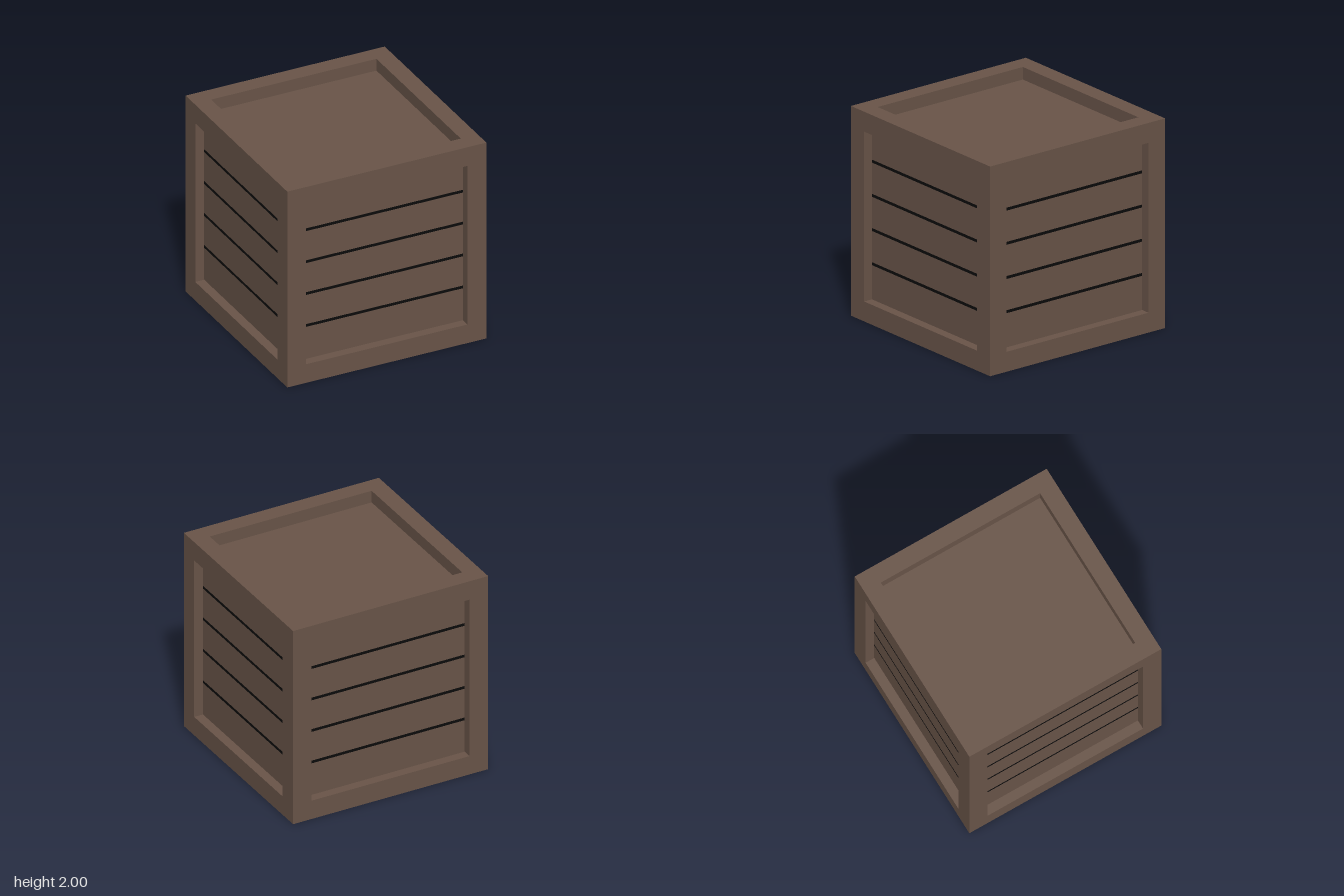
import * as THREE from 'three';

export function createModel() {
  const crate = new THREE.Group();
  crate.name = 'crate';
  const wood = new THREE.MeshStandardMaterial({ color: 0x6a5549 });
  wood.name = 'brown wood';
  const dark = new THREE.MeshStandardMaterial({ color: 0x0b0b0b });
  dark.name = 'dark gap';

  const BEAM = 0.19;   // frame thickness
  const FACE = 0.91;   // distance of the recessed slats from the centre
  const GAP = 0.028;   // height of the gaps between slats

  const add = (parent, name, geometry, material, x = 0, y = 0, z = 0) => {
    const mesh = new THREE.Mesh(geometry, material);
    mesh.name = name;
    mesh.position.set(x, y, z);
    parent.add(mesh);
    return mesh;
  };

  // Square rims at the bottom and top of the crate
  const square = (target, r) => {
    target.moveTo(-r, -r);
    target.lineTo(r, -r);
    target.lineTo(r, r);
    target.lineTo(-r, r);
    target.closePath();
    return target;
  };
  const rimShape = square(new THREE.Shape(), 1);
  rimShape.holes.push(square(new THREE.Path(), 0.83));
  const rim = new THREE.ExtrudeGeometry(rimShape, { depth: BEAM, bevelEnabled: false });
  rim.rotateX(-Math.PI / 2);
  add(crate, 'bottomRim', rim, wood);
  add(crate, 'topRim', rim, wood, 0, 2 - BEAM, 0);

  // Recessed lid and floor
  const panel = new THREE.BoxGeometry(1.68, 0.06, 1.68);
  add(crate, 'lidPanel', panel, wood, 0, 1.85, 0);
  add(crate, 'floorPanel', panel, wood, 0, 0.15, 0);

  // Corner posts
  const post = new THREE.BoxGeometry(BEAM, 2 - 2 * BEAM, BEAM);
  for (const x of [-1, 1]) {
    for (const z of [-1, 1]) {
      add(crate, 'cornerPost', post, wood, x * (1 - BEAM / 2), 1, z * (1 - BEAM / 2));
    }
  }

  // Four slatted sides, with thin dark strips between the slats
  const gaps = [0.53, 0.856, 1.182, 1.508];
  const bottoms = [BEAM, ...gaps.map((y) => y + GAP / 2)];
  const tops = [...gaps.map((y) => y - GAP / 2), 2 - BEAM];
  const strip = new THREE.BoxGeometry(1.62, GAP, 0.008);
  for (let side = 0; side < 4; side++) {
    const wall = new THREE.Group();
    wall.name = 'slattedSide';
    wall.rotation.y = side * Math.PI / 2;
    bottoms.forEach((low, i) => {
      const height = tops[i] - low;
      const slat = new THREE.BoxGeometry(1.62, height, 0.06);
      add(wall, 'slat', slat, wood, 0, low + height / 2, FACE - 0.03);
    });
    for (const y of gaps) add(wall, 'slatGap', strip, dark, 0, y, FACE - 0.004);
    crate.add(wall);
  }
  return crate;
}
